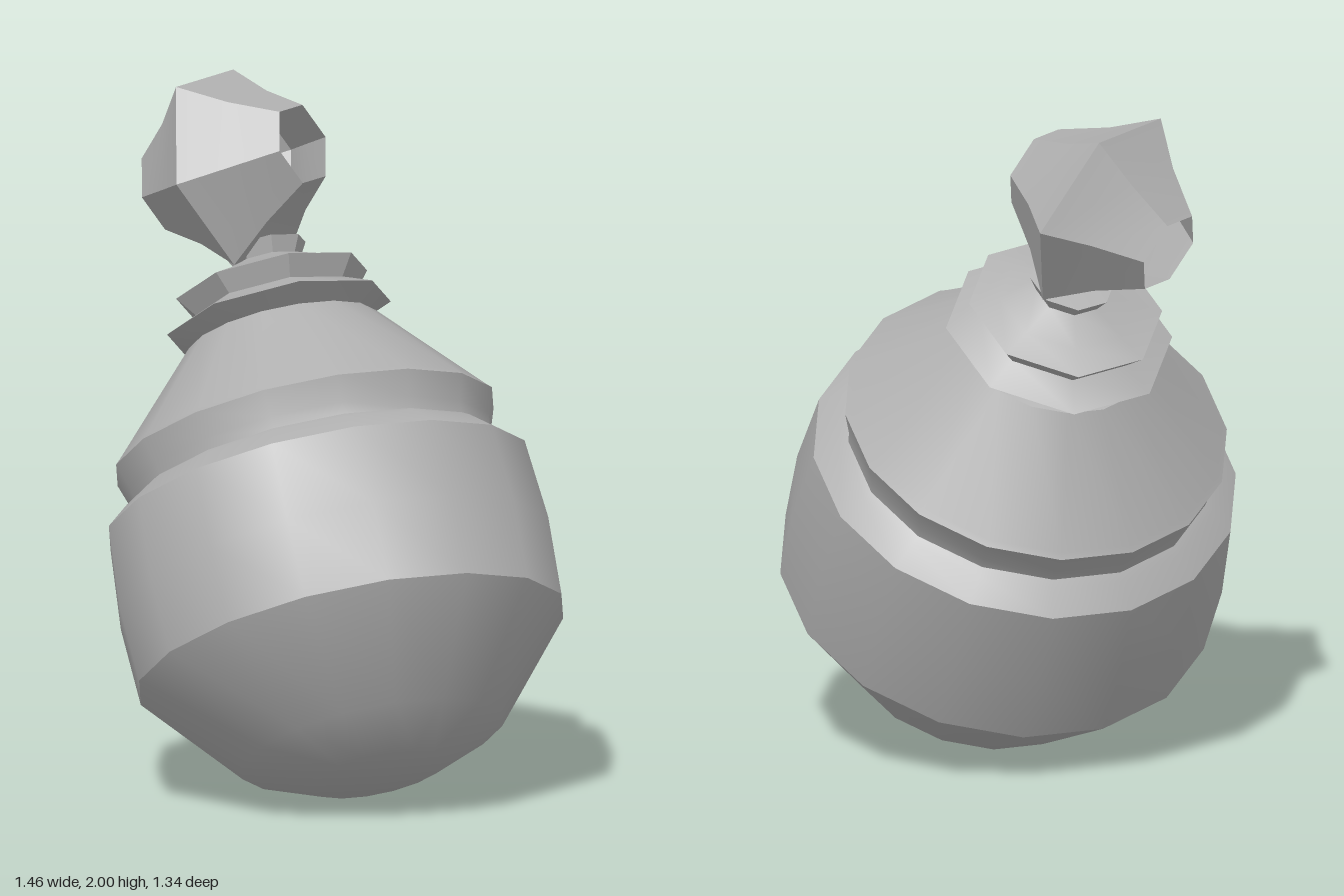
import * as THREE from 'three';
import { toCreasedNormals } from 'three/addons/utils/BufferGeometryUtils.js';

const grey = new THREE.MeshStandardMaterial({ color: 0xb0b0b0, side: THREE.DoubleSide });
grey.name = 'plain grey';

// Turned part from [radius, height] pairs, smooth except at sharp edges
function turned(name, profile, sides) {
  const points = profile.map(([r, h]) => new THREE.Vector2(r, h));
  const geometry = toCreasedNormals(new THREE.LatheGeometry(points, sides), 0.62);
  const mesh = new THREE.Mesh(geometry, grey);
  mesh.name = name;
  return mesh;
}

const up = new THREE.Vector3(0, 1, 0);
function lean(object, x, y, z) {
  object.quaternion.setFromUnitVectors(up, new THREE.Vector3(x, y, z).normalize());
}

export function createModel() {
  const model = new THREE.Group();
  model.name = 'ornament';

  // Leaning flask: everything here shares one tilted axis
  const flask = new THREE.Group();
  flask.name = 'flask';
  flask.position.set(0.06, 0.66, 0);
  lean(flask, -0.478, 1, -0.32);

  // Round body with a sloped shelf at its rim
  flask.add(turned('body', [
    [0, -0.645], [0.2, -0.62], [0.39, -0.53], [0.635, -0.235],
    [0.645, 0], [0.625, 0.24], [0.56, 0.295], [0.535, 0.31],
  ], 16));

  // Conical shoulder with an overhanging rim
  flask.add(turned('shoulder', [
    [0.535, 0.31], [0.54, 0.345], [0.565, 0.42], [0.55, 0.435], [0.28, 0.735], [0.2, 0.745],
  ], 16));

  // Stacked sharp flanges of the neck
  flask.add(turned('neck', [
    [0.22, 0.735], [0.335, 0.785], [0.24, 0.83], [0.286, 0.888],
    [0.2, 0.915], [0.1, 0.955], [0.125, 1.0], [0, 1.01],
  ], 8));
  model.add(flask);

  // Hollow six-sided bead, open at both ends
  const bead = turned('bead', [
    [0.125, -0.252], [0.21, -0.12], [0.312, 0], [0.21, 0.12], [0.125, 0.252],
  ], 6);
  bead.position.set(-0.455, 1.755, -0.275);
  lean(bead, 0.93, 0.366, 0);
  model.add(bead);

  return model;
}
